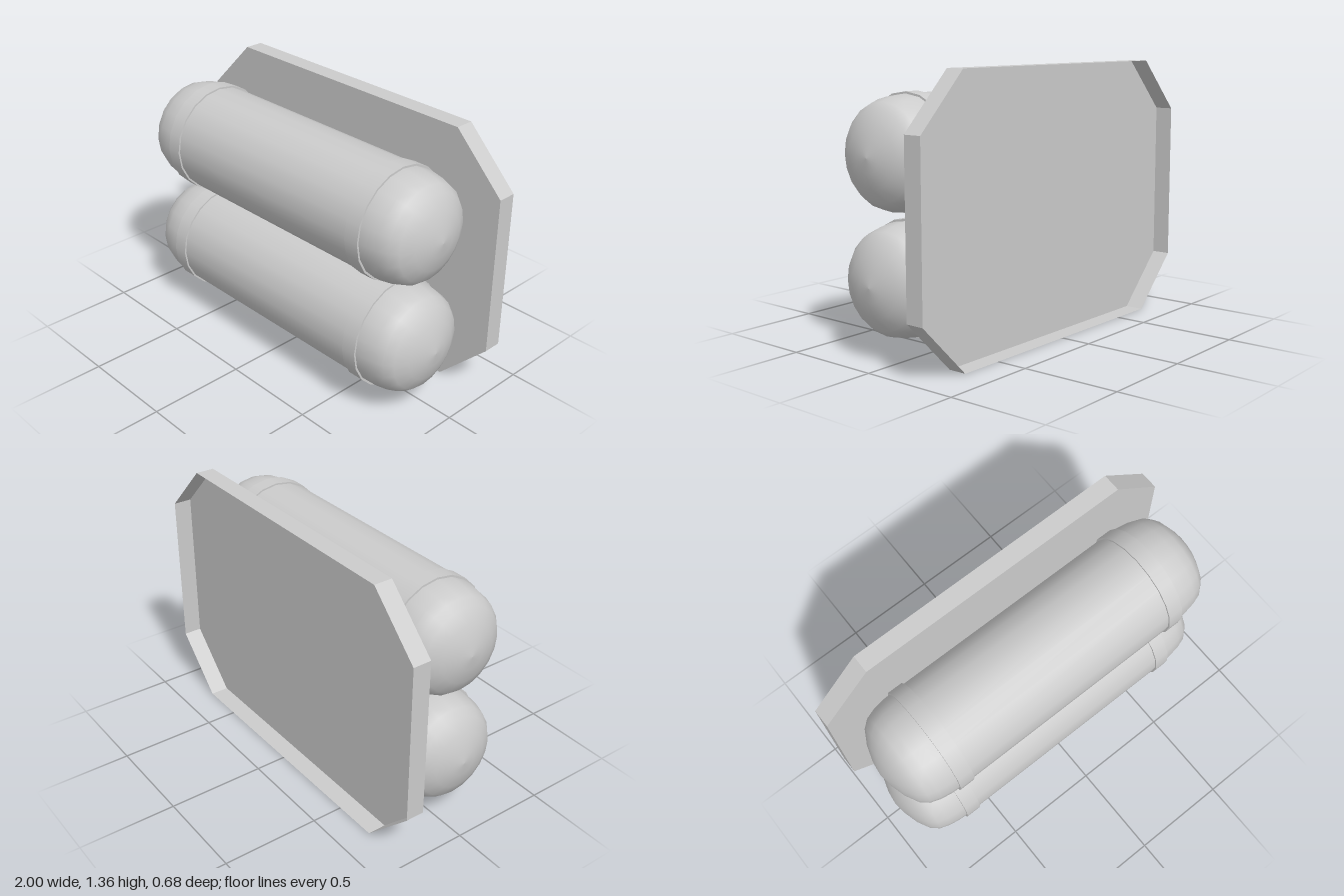
import * as THREE from 'three';

const material = new THREE.MeshStandardMaterial({ color: 0xcccccc });
const shellMaterial = new THREE.MeshStandardMaterial({ color: 0xcccccc, side: THREE.DoubleSide });
const SIDES = 20;

function add(parent, name, geometry, mat = material) {
  const mesh = new THREE.Mesh(geometry, mat);
  mesh.name = name;
  parent.add(mesh);
  return mesh;
}

// Rounded tank lying along x, with a raised band near each end
function createTank(name) {
  const tank = new THREE.Group();
  tank.name = name;

  // Half profile: [distance along axis, radius]
  const half = [[0.66, 0.276], [0.72, 0.273], [0.78, 0.263], [0.83, 0.246], [0.868, 0.214], [0.904, 0.148], [0.928, 0.07], [0.937, 0]];
  const profile = [
    ...half.map(([d, r]) => new THREE.Vector2(r, -d)).reverse(),
    ...half.map(([d, r]) => new THREE.Vector2(r, d)),
  ];
  add(tank, 'tankBody', new THREE.LatheGeometry(profile, SIDES).rotateZ(-Math.PI / 2));

  for (const side of [-1, 1]) {
    const band = new THREE.CylinderGeometry(0.285, 0.285, 0.08, SIDES).rotateZ(-Math.PI / 2);
    add(tank, side > 0 ? 'leftBand' : 'rightBand', band).position.x = side * 0.642;
  }
  return tank;
}

// Shallow tray with cut corners: a front panel and a thin rim, open at the back
function createBackPlate() {
  const plate = new THREE.Group();
  plate.name = 'backPlate';
  const w = 1, h = 1.36, cut = 0.27, front = -0.245, depth = 0.095;
  const corners = [
    [-w + cut, 0], [w - cut, 0], [w, cut], [w, h - cut],
    [w - cut, h], [-w + cut, h], [-w, h - cut], [-w, cut],
  ].map(([x, y]) => new THREE.Vector2(x, y));

  const panel = new THREE.ShapeGeometry(new THREE.Shape(corners));
  add(plate, 'platePanel', panel, shellMaterial).position.z = front;

  corners.forEach((a, i) => {
    const b = corners[(i + 1) % corners.length];
    const wall = new THREE.PlaneGeometry(a.distanceTo(b), depth).rotateX(Math.PI / 2);
    const rim = add(plate, 'plateRim', wall, shellMaterial);
    rim.position.set((a.x + b.x) / 2, (a.y + b.y) / 2, front - depth / 2);
    rim.rotation.z = Math.atan2(b.y - a.y, b.x - a.x);
  });
  return plate;
}

export function createModel() {
  const model = new THREE.Group();
  model.name = 'twinTankPack';
  model.add(createBackPlate());

  // Two stacked tanks
  for (const [name, y] of [['lowerTank', 0.369], ['upperTank', 0.961]]) {
    const tank = createTank(name);
    tank.position.set(0, y, 0.056);
    model.add(tank);
  }
  return model;
}
